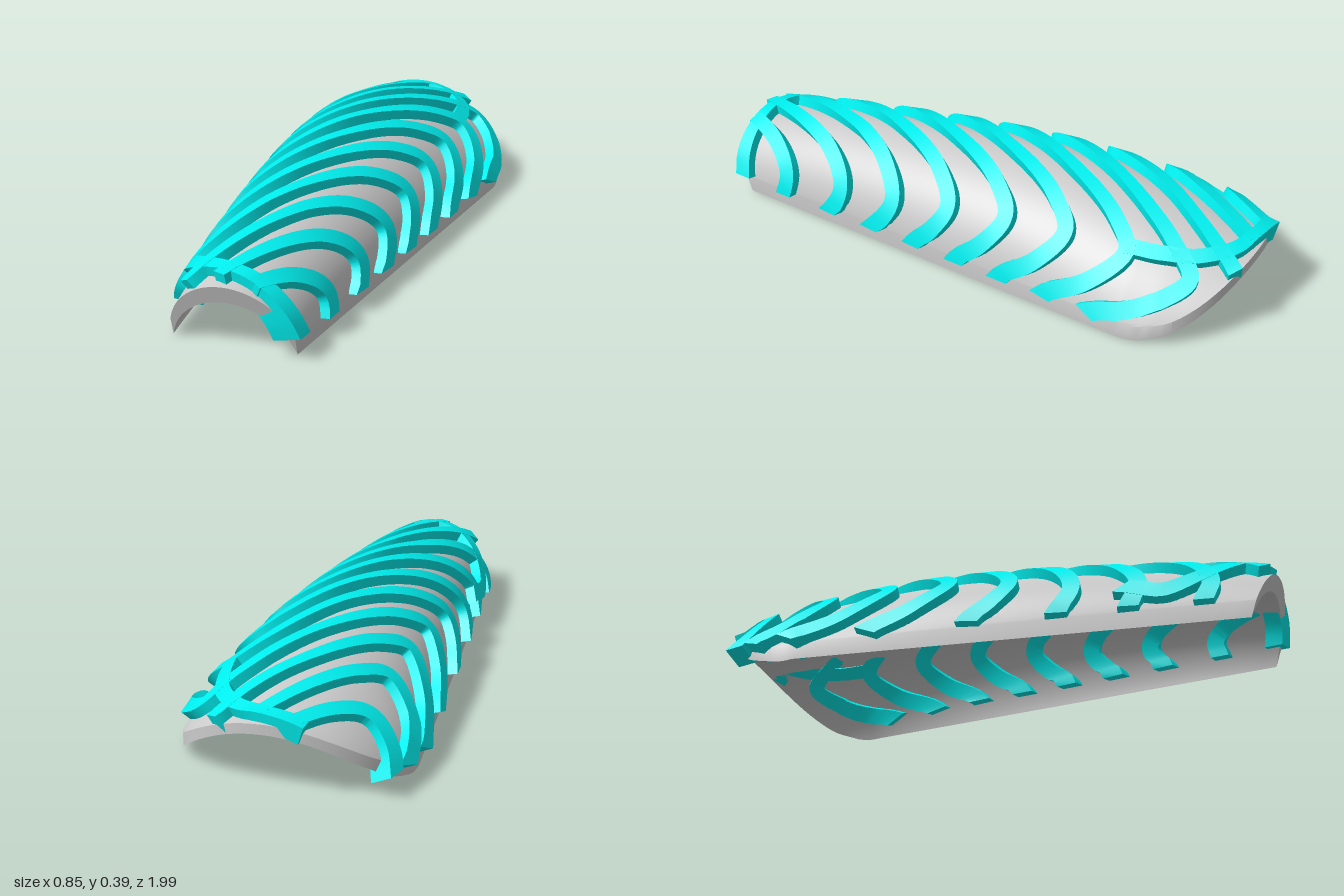
import * as THREE from 'three';
import { toCreasedNormals } from 'three/addons/utils/BufferGeometryUtils.js';

const { clamp, lerp } = THREE.MathUtils;

// Piecewise linear lookup in [position, value] pairs
function table(rows, z) {
  for (let i = 1; i < rows.length; i++) {
    const [a, va] = rows[i - 1], [b, vb] = rows[i];
    if (z <= b || i === rows.length - 1) return lerp(va, vb, clamp((z - a) / (b - a), 0, 1));
  }
}

const BASE = 0.06, BACK = -0.985, FRONT = 0.92, ROUND = -0.63;
const CROWN = [[-1, 0.235], [-0.8, 0.285], [-0.6, 0.32], [-0.4, 0.34], [-0.2, 0.35], [0, 0.343],
  [0.2, 0.33], [0.4, 0.31], [0.6, 0.285], [0.8, 0.25], [0.98, 0.208]];
const WIDTH = [[-1, 0.31], [-0.85, 0.355], [-0.75, 0.38], [ROUND, 0.39], [0.93, 0.21]];
const smooth = (rows, z) => (table(rows, z - 0.06) + table(rows, z) + table(rows, z + 0.06)) / 3;
const halfWidth = (z) => table(WIDTH, z);

// Point of the arched outer surface; the front end leans forward with height
function surface(x, z, drop = 0) {
  const w = halfWidth(z), h = smooth(CROWN, z) - BASE;
  const r = (w * w + h * h) / (2 * h);
  const y = BASE + h - r + Math.sqrt(Math.max(0, r * r - x * x)) - drop;
  const lean = 0.07 * Math.max(0, (z - 0.5) / 0.42) * y / 0.22;
  return new THREE.Vector3(x, y, z + lean);
}

function surfaceNormal(x, z) {
  const d = 0.005;
  const dx = surface(x + d, z).sub(surface(x - d, z));
  const dz = surface(x, z + d).sub(surface(x, z - d));
  return dz.cross(dx).normalize();
}

// Skin over a list of closed rings, with both ends capped by strips
function loft(rings) {
  const m = rings[0].length, last = rings.length - 1, index = [];
  const quad = (a, b, c, d) => index.push(a, b, c, a, c, d);
  for (let i = 0; i < last; i++) {
    for (let j = 0; j < m; j++) {
      const k = (j + 1) % m;
      quad(i * m + j, (i + 1) * m + j, (i + 1) * m + k, i * m + k);
    }
  }
  const o = last * m;
  for (let j = 0; j < m / 2 - 1; j++) {
    quad(j, j + 1, m - 2 - j, m - 1 - j);
    quad(o + m - 1 - j, o + m - 2 - j, o + j + 1, o + j);
  }
  const geometry = new THREE.BufferGeometry().setFromPoints(rings.flat());
  geometry.setIndex(index);
  return toCreasedNormals(geometry, 0.6);
}

// Arched shell, rounded off at the back
function shellGeometry() {
  const stations = [], n = 40, rings = [];
  for (let i = 0; i < 20; i++) stations.push(lerp(ROUND, BACK, Math.cos(i / 20 * Math.PI / 2)));
  for (let i = 0; i <= 32; i++) stations.push(lerp(ROUND, FRONT, i / 32));
  for (const z of stations) {
    const t = clamp((ROUND - z) / (ROUND - BACK), 0, 1);
    const edge = z < ROUND ? Math.max(0.004, 0.39 * Math.sqrt(1 - Math.pow(t, 2.4))) : halfWidth(z);
    const thick = lerp(0.06, 0.035, t);
    const outer = [], inner = [];
    for (let j = 0; j <= n; j++) {
      const x = -edge * Math.cos(j / n * Math.PI);
      outer.push(surface(x, z));
      inner.unshift(surface(x, z, thick));
    }
    rings.push([...outer, ...inner]);
  }
  return loft(rings);
}

// Rectangular bar following plan points [x, z]; wider and deeper near the sides, where its ends are cut level
function barGeometry(plan) {
  const path = plan.map(([x, z]) => surface(x, z)), last = path.length - 1;
  const rings = path.map((p, i) => {
    const [x, z] = plan[i];
    const normal = surfaceNormal(x, z);
    const tangent = path[Math.min(i + 1, last)].clone().sub(path[Math.max(i - 1, 0)]).normalize();
    const side = normal.clone().cross(tangent).normalize();
    const out = Math.min(1, Math.abs(x) / halfWidth(z));
    const level = Math.max(0, 1 - Math.min(i, last - i) / 6);
    if (out > 0.8) side.addScaledVector(tangent, -level * clamp(side.y / tangent.y, -0.8, 0.8));
    const half = 0.022 + 0.009 * out;
    const depth = lerp(0.03, 0.045 + 0.018 * out, clamp((z + 1) / 0.3, 0, 1));
    return [[0.035, -half], [0.035, half], [-depth, half], [-depth, -half]].map(([a, b]) =>
      p.clone().addScaledVector(normal, a).addScaledVector(side, b));
  });
  return loft(rings);
}

// Smooth plan curve through a few points
function planCurve(points, count) {
  const curve = new THREE.CatmullRomCurve3(points.map(([x, z]) => new THREE.Vector3(x, 0, z)));
  return curve.getSpacedPoints(count).map((p) => [p.x, p.z]);
}

// S-shaped rib number i, trimmed at the ends of the shell
const LEFT_ENDS = [-0.85, -0.78, -0.65, -0.37, -0.02, 0.28, 0.52, 0.76];
function ribPlan(i) {
  const trough = -0.77 + 0.22 * i, peak = trough - 0.72;
  const leftEnd = LEFT_ENDS[i] ?? trough;
  const rightEnd = peak + 0.02 + 0.28 * Math.pow(Math.max(0, (0.7 - peak) / 1.54), 1.2);
  // The turns stay at nearly the same x along the tapering shell
  const turn = (z) => Math.min(0.92, 0.255 / halfWidth(z));
  const l = turn(trough), r = turn(peak);
  let points = [
    [-1, leftEnd], [-lerp(l, 1, 0.7), lerp(leftEnd, trough, 0.6)], [-l, trough], [-l * 0.68, trough - 0.08],
    [0, trough - 0.36], [r * 0.68, peak + 0.08], [r, peak],
    [lerp(r, 1, 0.7), lerp(rightEnd, peak, 0.6)], [1, rightEnd],
  ];
  if (i < 3) points = points.slice(0, 7);
  return planCurve(points, 90)
    .map(([v, z]) => [v * halfWidth(z), z])
    .filter(([, z]) => z > -0.965 && z < 0.905);
}

export function createModel() {
  const model = new THREE.Group();
  model.name = 'ribbedShell';
  const grey = new THREE.MeshStandardMaterial({ color: 0xcccccc });
  const cyan = new THREE.MeshStandardMaterial({ color: 0x00eeee });
  const add = (name, geometry, material) => {
    const mesh = new THREE.Mesh(geometry, material);
    mesh.name = name;
    model.add(mesh);
  };

  add('shell', shellGeometry(), grey);
  for (let i = 0; i < 11; i++) add(`rib${i + 1}`, barGeometry(ribPlan(i)), cyan);

  // Bars that tie the rib ends together at the back and front
  const backTie = [[-0.12, -0.965], [0, -0.955], [0.1, -0.92], [0.18, -0.83], [0.22, -0.72], [0.24, -0.6]];
  const frontTie = [[-0.24, 0.5], [-0.23, 0.65], [-0.18, 0.76], [-0.1, 0.83], [0, 0.86], [0.1, 0.88], [0.21, 0.91]];
  add('backTie', barGeometry(planCurve(backTie, 40)), cyan);
  add('frontTie', barGeometry(planCurve(frontTie, 40)), cyan);
  return model;
}
